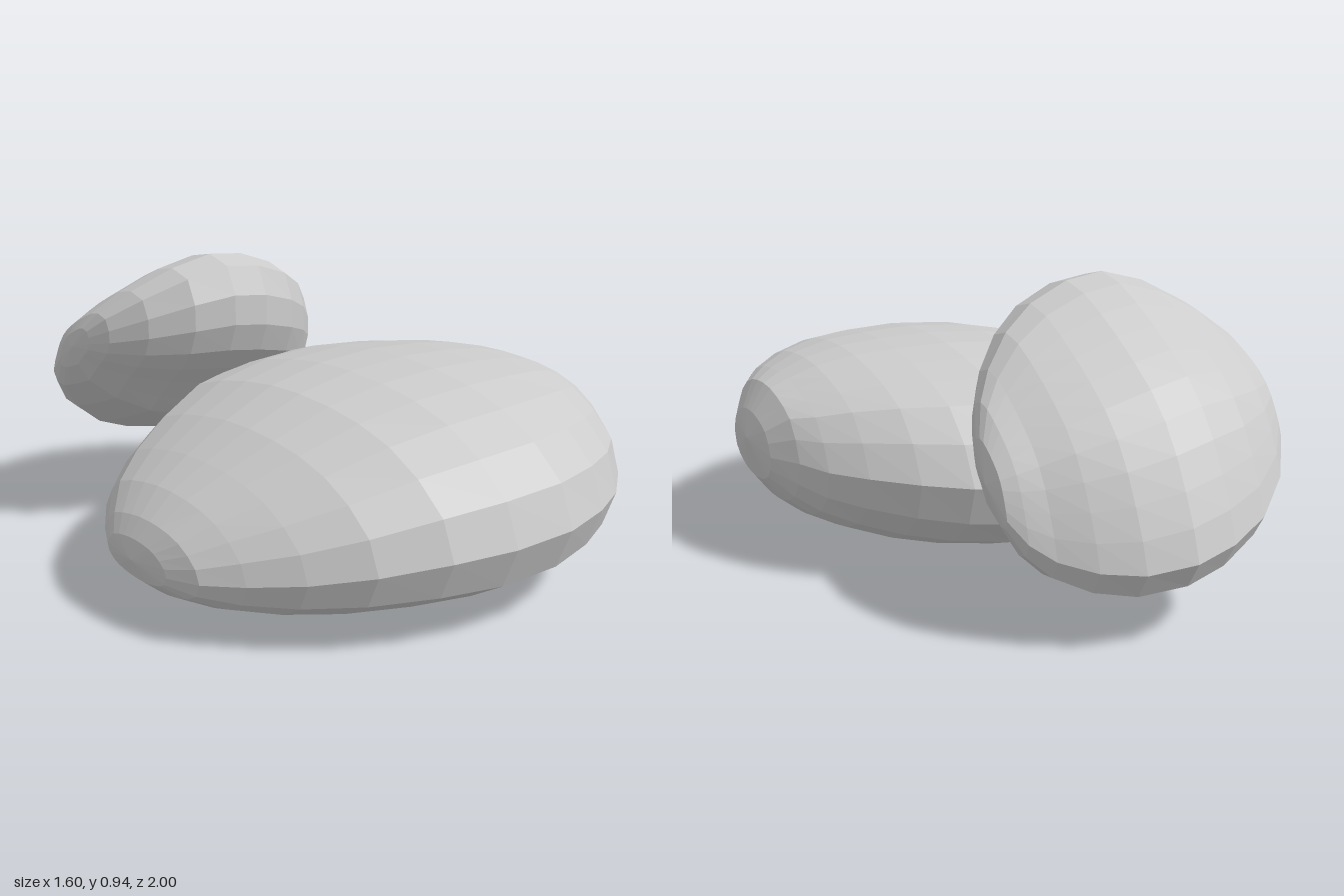
import * as THREE from 'three';

const SIDES = 24;

// Closed outline in the z-y plane, listed from the front over the top,
// resampled evenly and scaled to a unit box.
function unitOutline(points) {
  const curve = new THREE.CatmullRomCurve3(
    points.map(([z, y]) => new THREE.Vector3(0, y, z)), true);
  const ring = curve.getSpacedPoints(SIDES).slice(0, SIDES);
  const box = new THREE.Box3().setFromPoints(ring);
  const size = box.getSize(new THREE.Vector3());
  return ring.map(p => [(p.z - box.min.z) / size.z, (p.y - box.min.y) / size.y]);
}

// Pebble lofted along x. Each station is [x, zMin, zMax, yMin, yMax];
// the first and last stations are single points.
function pebble(name, outline, stations, material) {
  const ring = unitOutline(outline);
  const positions = [];
  const index = [];
  for (const [x, z0, z1, y0, y1] of stations) {
    for (const [u, v] of ring) positions.push(x, y0 + (y1 - y0) * v, z0 + (z1 - z0) * u);
  }
  const last = stations.length - 2;
  for (let i = 0; i <= last; i++) {
    for (let j = 0; j < SIDES; j++) {
      const a = i * SIDES + j;
      const b = i * SIDES + (j + 1) % SIDES;
      const c = a + SIDES;
      const d = b + SIDES;
      // one triangle per side at the tips, two elsewhere
      if (i > 0) index.push(a, c, b);
      if (i < last) index.push(b, c, d);
    }
  }
  const geometry = new THREE.BufferGeometry();
  geometry.setAttribute('position', new THREE.Float32BufferAttribute(positions, 3));
  geometry.setIndex(index);
  geometry.computeVertexNormals();
  const mesh = new THREE.Mesh(geometry, material);
  mesh.name = name;
  return mesh;
}

export function createModel() {
  const group = new THREE.Group();
  group.name = 'stones';
  const stone = new THREE.MeshStandardMaterial({ color: 0xcccccc, flatShading: true });

  // Broad flat stone lying on the ground
  group.add(pebble('largeStone', [
    [1, 0.3], [0.985, 0.38], [0.9, 0.48], [0.75, 0.58], [0.58, 0.635], [0.4, 0.66],
    [0.2, 0.665], [0.05, 0.65], [-0.15, 0.61], [-0.28, 0.565], [-0.38, 0.475], [-0.46, 0.325],
    [-0.44, 0.25], [-0.38, 0.18], [-0.28, 0.1], [-0.15, 0.055], [0, 0.025], [0.25, 0.005],
    [0.57, 0.025], [0.75, 0.07], [0.9, 0.13], [0.985, 0.22],
  ], [
    [-0.8, 0.17, 0.17, 0.2, 0.2],
    [-0.785, 0.02, 0.33, 0.14, 0.26],
    [-0.75, -0.05, 0.44, 0.11, 0.315],
    [-0.67, -0.17, 0.55, 0.07, 0.385],
    [-0.56, -0.27, 0.68, 0.045, 0.455],
    [-0.42, -0.35, 0.81, 0.03, 0.535],
    [-0.24, -0.43, 0.915, 0.015, 0.61],
    [-0.05, -0.46, 0.975, 0.0, 0.65],
    [0.15, -0.45, 1, 0.01, 0.665],
    [0.32, -0.38, 0.97, 0.03, 0.66],
    [0.45, -0.29, 0.92, 0.055, 0.648],
    [0.57, -0.18, 0.835, 0.095, 0.62],
    [0.66, -0.08, 0.735, 0.14, 0.585],
    [0.72, 0.01, 0.61, 0.19, 0.56],
    [0.775, 0.12, 0.48, 0.265, 0.48],
    [0.8, 0.28, 0.28, 0.4, 0.4],
  ], stone));

  // Smaller stone leaning against its back edge, its low end turned to +x
  group.add(pebble('smallStone', [
    [-0.15, 0.72], [-0.15, 0.82], [-0.2, 0.925], [-0.3, 0.945], [-0.4, 0.92], [-0.5, 0.87],
    [-0.65, 0.78], [-0.78, 0.68], [-0.86, 0.58], [-0.92, 0.47], [-0.97, 0.36], [-1, 0.28],
    [-0.98, 0.2], [-0.88, 0.165], [-0.75, 0.2], [-0.6, 0.26], [-0.44, 0.335],
    [-0.38, 0.42], [-0.3, 0.5], [-0.2, 0.6],
  ], [
    [-0.54, -0.56, -0.56, 0.64, 0.64],
    [-0.53, -0.67, -0.47, 0.55, 0.71],
    [-0.5, -0.77, -0.39, 0.465, 0.765],
    [-0.42, -0.87, -0.28, 0.36, 0.84],
    [-0.3, -0.95, -0.19, 0.265, 0.91],
    [-0.17, -0.99, -0.15, 0.21, 0.945],
    [-0.04, -1, -0.155, 0.18, 0.93],
    [0.1, -0.96, -0.195, 0.165, 0.88],
    [0.21, -0.895, -0.265, 0.18, 0.815],
    [0.3, -0.82, -0.35, 0.22, 0.73],
    [0.36, -0.77, -0.44, 0.28, 0.66],
    [0.4, -0.72, -0.53, 0.36, 0.58],
    [0.42, -0.63, -0.63, 0.47, 0.47],
  ], stone));

  return group;
}
